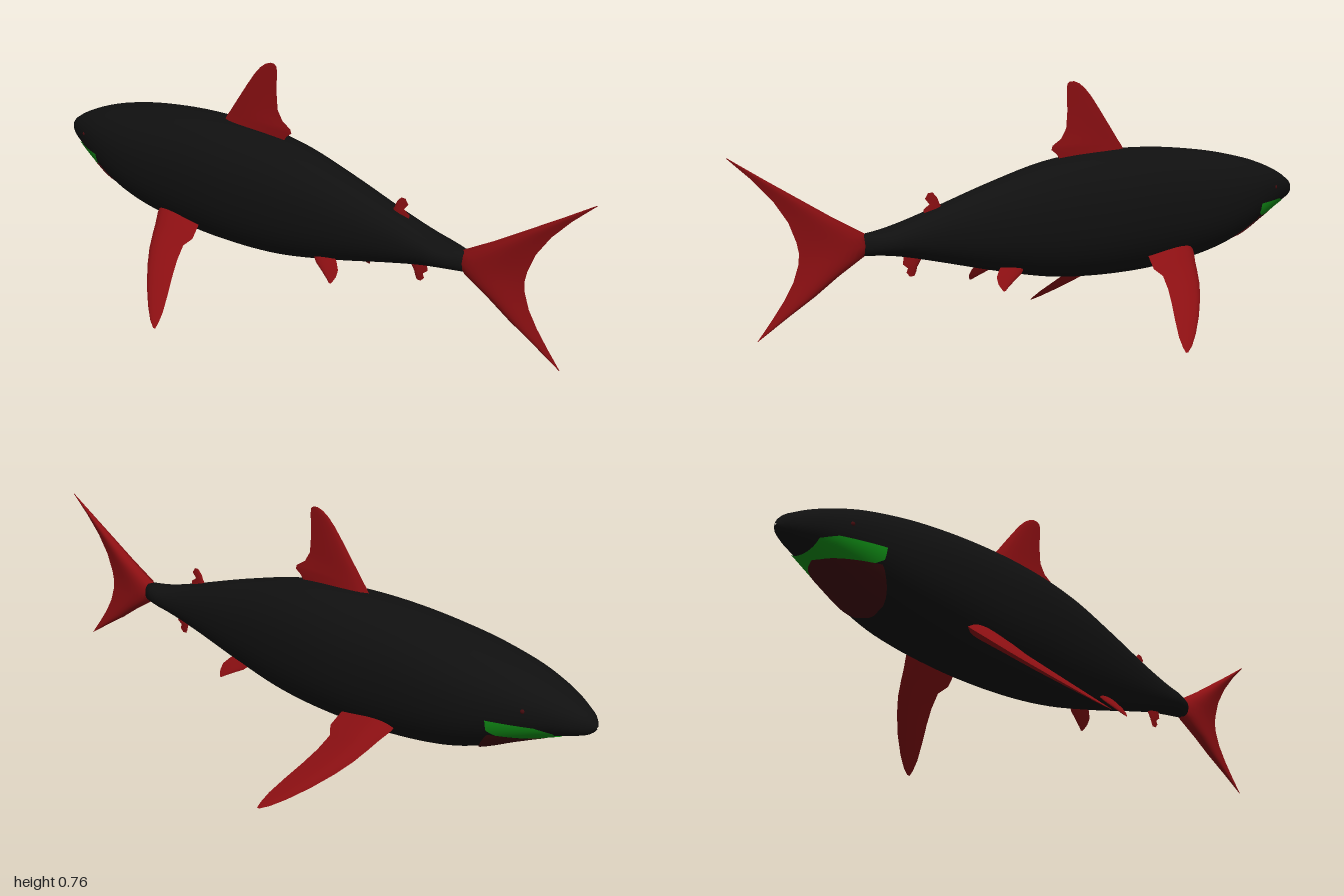
import * as THREE from 'three';

const paint = (name, color) => {
  const m = new THREE.MeshStandardMaterial({ color });
  m.name = name;
  return m;
};

// Surface through rows of points; wrap closes each row into a ring
function gridGeometry(rows, wrap = false) {
  const n = rows[0].length, index = [];
  for (let j = 0; j < rows.length - 1; j++) {
    for (let i = 0; i < (wrap ? n : n - 1); i++) {
      const a = j * n + i, b = j * n + (i + 1) % n;
      index.push(a, b, a + n, b, b + n, a + n);
    }
  }
  const g = new THREE.BufferGeometry().setFromPoints(rows.flat());
  g.setIndex(index);
  g.computeVertexNormals();
  return g;
}

// Body stations from nose to tail stem: z, top, bottom, half width
const STATIONS = [
  [-1, 0.352, 0.348, 0.003], [-0.99, 0.373, 0.335, 0.02], [-0.96, 0.396, 0.321, 0.043],
  [-0.9, 0.428, 0.305, 0.075], [-0.8, 0.466, 0.266, 0.112], [-0.7, 0.492, 0.222, 0.135],
  [-0.6, 0.512, 0.192, 0.147], [-0.4, 0.537, 0.167, 0.151], [-0.2, 0.543, 0.165, 0.147],
  [0, 0.529, 0.182, 0.125], [0.2, 0.485, 0.226, 0.094], [0.4, 0.43, 0.28, 0.064],
  [0.5, 0.403, 0.306, 0.055], [0.57, 0.388, 0.32, 0.05], [0.63, 0.384, 0.325, 0.026],
];
const spline = new THREE.CubicInterpolant(
  STATIONS.map((s) => s[0]), STATIONS.flatMap((s) => s.slice(1)), 3);
const ROUND = 0.9;
const power = (v) => Math.sign(v) * Math.abs(v) ** ROUND;

// Point on the skin at z and angle, pushed out by lift
function skin(z, angle, lift = 0) {
  const [top, bottom, w] = spline.evaluate(z);
  return new THREE.Vector3(
    power(Math.cos(angle)) * (w + lift),
    (top + bottom) / 2 + power(Math.sin(angle)) * ((top - bottom) / 2 + lift), z);
}

// Angle on the +x side where the skin reaches height y, stopping at the belly line
function angleAt(z, y) {
  const [top, bottom] = spline.evaluate(z);
  const v = THREE.MathUtils.clamp((y - (top + bottom) / 2) / ((top - bottom) / 2), -1, 1);
  return Math.asin(Math.sign(v) * Math.abs(v) ** (1 / ROUND));
}

function bodyGeometry() {
  const rows = [], N = 48, M = 64;
  for (let j = 0; j <= M; j++) {
    // rows gather toward the nose
    const z = -1 + 1.63 * (j / M) ** 1.5;
    rows.push(Array.from({ length: N }, (_, i) => skin(z, i / N * Math.PI * 2)));
  }
  const last = rows[M];
  rows.push(last.map(() => new THREE.Vector3(0, 0.354, 0.635)));
  return gridGeometry(rows, true);
}

// Thin skin patch on one side between two height rules
function patchGeometry(z0, z1, low, high, side, lift) {
  const rows = [];
  for (let j = 0; j <= 24; j++) {
    const z = z0 + (z1 - z0) * j / 24, a = angleAt(z, low(z)), b = angleAt(z, high(z));
    const row = Array.from({ length: 13 }, (_, i) => {
      const p = skin(z, a + (b - a) * i / 12, lift);
      p.x *= side;
      return p;
    });
    rows.push(side > 0 ? row : row.reverse());
  }
  return gridGeometry(rows);
}

// Fin lofted from ribs: span, leading z, trailing z, half thickness
function makeFin(name, material, origin, direction, ribs) {
  const fin = new THREE.Group();
  fin.name = name;
  const d = new THREE.Vector3(...direction).normalize();
  const normal = d.clone().cross(new THREE.Vector3(0, 0, 1));
  for (const side of [-1, 1]) {
    const rows = ribs.map(([s, lead, trail, t]) => {
      const row = [];
      for (let i = 0; i <= 12; i++) {
        const u = i / 12;
        const p = new THREE.Vector3(...origin).addScaledVector(d, s)
          .addScaledVector(normal, side * t * Math.sin(Math.PI * u ** 0.6));
        p.z = lead + (trail - lead) * u;
        row.push(p);
      }
      return side < 0 ? row : row.reverse();
    });
    const mesh = new THREE.Mesh(gridGeometry(rows), material);
    mesh.name = name + (side < 0 ? 'FaceA' : 'FaceB');
    fin.add(mesh);
  }
  return fin;
}

export function createModel() {
  const model = new THREE.Group();
  model.name = 'shark';
  const black = paint('skin black', 0x101010);
  const red = paint('fin red', 0x8b0f12);
  const maroon = paint('mouth maroon', 0x430b0e);
  const green = paint('teeth green', 0x119016);
  for (const m of [red, maroon, green]) m.side = THREE.DoubleSide;

  const add = (name, geometry, material) => {
    const mesh = new THREE.Mesh(geometry, material);
    mesh.name = name;
    model.add(mesh);
    return mesh;
  };
  add('body', bodyGeometry(), black);

  // Fins on the centre line
  model.add(makeFin('dorsalFin', red, [0, 0, 0], [0, 1, 0], [
    [0.5, -0.3, -0.05, 0.014], [0.545, -0.27, -0.02, 0.011], [0.56, -0.26, 0, 0.0105],
    [0.572, -0.25, -0.004, 0.01], [0.59, -0.237, -0.035, 0.009], [0.62, -0.215, -0.054, 0.008],
    [0.67, -0.178, -0.058, 0.006], [0.71, -0.147, -0.057, 0.004], [0.735, -0.123, -0.056, 0.003],
    [0.75, -0.102, -0.058, 0.002], [0.757, -0.083, -0.066, 0.0005],
  ]));
  model.add(makeFin('tailFin', red, [0, 0, 0], [0, 1, 0], [
    [0.14, 0.935, 0.937, 0.0005], [0.19, 0.85, 0.895, 0.006], [0.235, 0.77, 0.86, 0.012],
    [0.28, 0.7, 0.832, 0.018], [0.325, 0.62, 0.816, 0.024], [0.355, 0.6, 0.813, 0.027],
    [0.385, 0.62, 0.819, 0.025], [0.44, 0.715, 0.84, 0.019], [0.5, 0.81, 0.88, 0.013],
    [0.56, 0.905, 0.935, 0.007], [0.62, 0.997, 1, 0.0005],
  ]));
  model.add(makeFin('secondDorsalFin', red, [0, 0, 0], [0, 1, 0], [
    [0.39, 0.36, 0.43, 0.006], [0.43, 0.378, 0.438, 0.005], [0.443, 0.386, 0.418, 0.004],
    [0.46, 0.393, 0.432, 0.003], [0.475, 0.407, 0.422, 0.0005],
  ]));
  model.add(makeFin('analFin', red, [0, 0.32, 0], [0, -1, 0], [
    [0, 0.43, 0.5, 0.006], [0.035, 0.452, 0.506, 0.005], [0.048, 0.461, 0.49, 0.004],
    [0.06, 0.464, 0.495, 0.002], [0.072, 0.47, 0.484, 0.0005],
  ]));

  // Paired parts
  for (const side of [1, -1]) {
    const word = side > 0 ? 'left' : 'right';
    model.add(makeFin(word + 'PectoralFin', red, [side * 0.08, 0.26, 0], [side * 0.76, -0.65, 0], [
      [0, -0.47, -0.29, 0.019], [0.06, -0.455, -0.275, 0.018], [0.1, -0.435, -0.267, 0.016],
      [0.13, -0.422, -0.284, 0.014], [0.18, -0.398, -0.272, 0.012], [0.23, -0.366, -0.253, 0.01],
      [0.29, -0.32, -0.227, 0.007], [0.345, -0.27, -0.205, 0.004], [0.38, -0.232, -0.197, 0.002],
      [0.398, -0.205, -0.196, 0.0005],
    ]));
    model.add(makeFin(word + 'PelvicFin', red, [side * 0.04, 0.26, 0], [side * 0.55, -0.83, 0], [
      [0, 0.11, 0.2, 0.007], [0.025, 0.135, 0.225, 0.006], [0.045, 0.155, 0.24, 0.005],
      [0.065, 0.19, 0.242, 0.004], [0.08, 0.215, 0.237, 0.002], [0.088, 0.226, 0.233, 0.0005],
    ]));

    // Upper jaw band and lower mouth patch
    const bandLow = (z) => 0.297 + 0.012 * Math.max(0, (z + 0.77) / 0.02);
    const bandHigh = (z) => 0.34 - 0.012 * Math.max(0, (-0.87 - z) / 0.04);
    add(word + 'Teeth', patchGeometry(-0.91, -0.75, bandLow, bandHigh, side, 0.003), green);
    const mouthHigh = (z) => 0.298 - 1.25 * Math.max(0, z + 0.75);
    add(word + 'Mouth', patchGeometry(-0.885, -0.685, () => 0, mouthHigh, side, 0.004), maroon);

    // Small eye set almost flush in the skin
    const eye = add(word + 'Eye', new THREE.SphereGeometry(0.007, 12, 8), maroon);
    const p = skin(-0.84, angleAt(-0.84, 0.38));
    eye.position.set(side * (p.x - 0.004), p.y, p.z);
  }
  return model;
}
